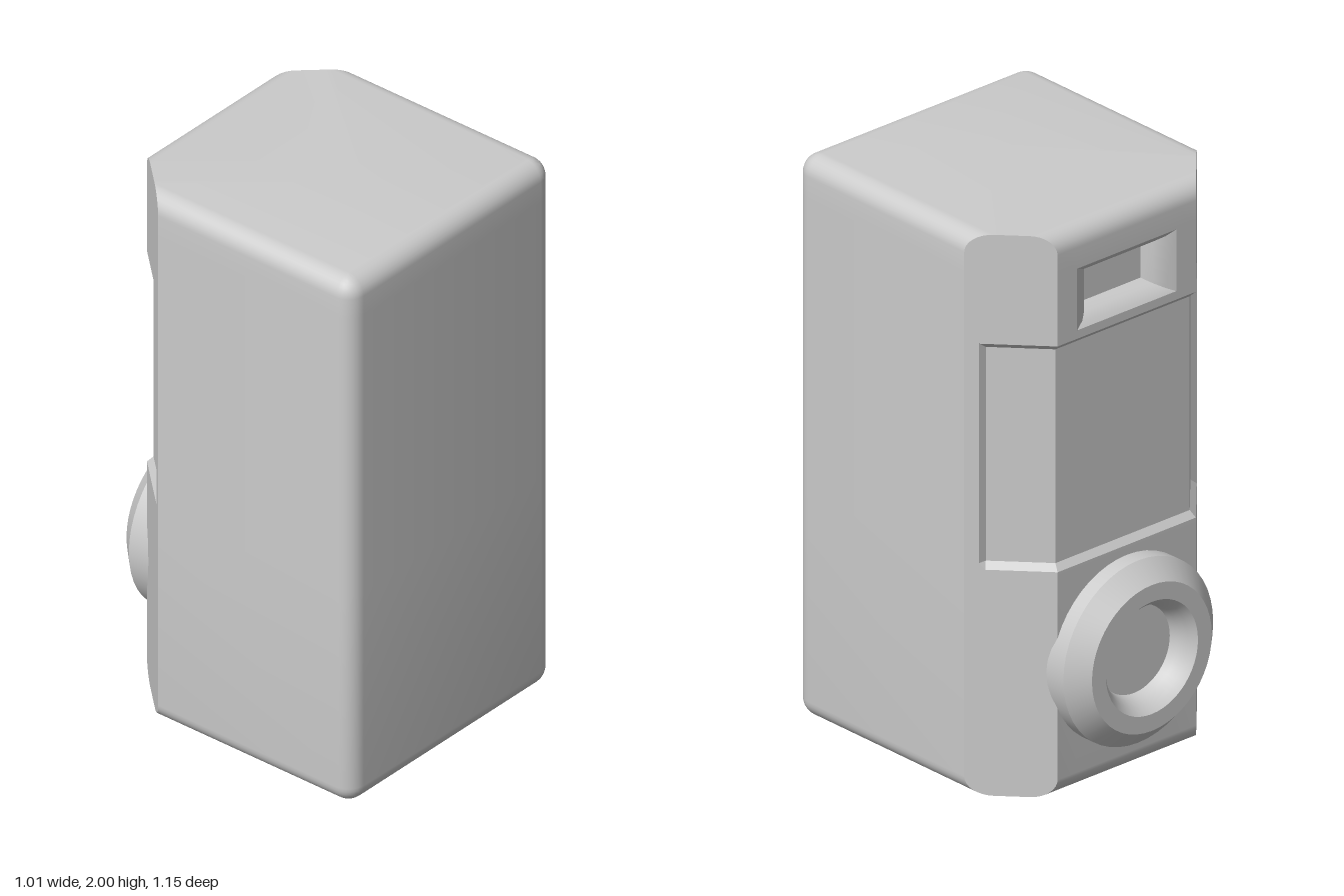
import * as THREE from 'three';
import { toCreasedNormals } from 'three/addons/utils/BufferGeometryUtils.js';

const HX = 0.505, FRONT = 0.575, BACK = -0.455, HEIGHT = 2, R = 0.065;
const SLOT = { x: 0.215, y0: 1.64, y1: 1.86 };

// Chamfer plane that cuts the back corners: N . p = C
const A = new THREE.Vector2(HX, -0.235), B = new THREE.Vector2(0.3, BACK);
const T = B.clone().sub(A).normalize();
const N = new THREE.Vector2(-T.y, T.x);
const C = N.dot(A);

// Skin a stack of closed rings; caps are fans, skip(j, i) leaves a cell open
function loft(rings, { skip = () => false, start = false, end = false } = {}) {
  const n = rings[0].length, pos = [], index = [];
  rings.forEach(ring => ring.forEach(p => pos.push(p.x, p.y, p.z)));
  for (let j = 0; j < rings.length - 1; j++) {
    for (let i = 0; i < n; i++) {
      if (skip(j, i)) continue;
      const k = (i + 1) % n;
      const a = j * n + i, b = a + n, c = (j + 1) * n + k, d = j * n + k;
      index.push(a, b, c, a, c, d);
    }
  }
  const cap = (j, flip) => {
    const centre = new THREE.Vector3();
    rings[j].forEach(p => centre.addScaledVector(p, 1 / n));
    const m = pos.length / 3;
    pos.push(centre.x, centre.y, centre.z);
    for (let i = 0; i < n; i++) {
      const a = j * n + i, b = j * n + (i + 1) % n;
      index.push(m, ...(flip ? [a, b] : [b, a]));
    }
  };
  if (start) cap(0, true);
  if (end) cap(rings.length - 1, false);
  const g = new THREE.BufferGeometry();
  g.setAttribute('position', new THREE.Float32BufferAttribute(pos, 3));
  g.setIndex(index);
  return toCreasedNormals(g, 0.5);
}

// Footprint at height y: inset for the rounded rim, depth for the back panel
function section(y, inset = 0, depth = 0) {
  const zBack = BACK + inset + depth;
  const cornerAt = (z, dep) => new THREE.Vector2((C - dep - N.y * z) / N.x, z);
  const side = new THREE.Vector2(HX - inset, (C - N.x * (HX - inset)) / N.y);
  const edge = cornerAt(BACK + inset, 0);
  const half = [
    new THREE.Vector2(SLOT.x, zBack),
    cornerAt(zBack, depth),
    side.clone().lerp(edge, 0.225).addScaledVector(N, -depth),
    side.clone().lerp(edge, 0.16),
    side,
  ];
  for (let k = 0; k <= 8; k++) {
    const a = (k / 8) * Math.PI / 2;
    half.push(new THREE.Vector2(
      HX - R + (R - inset) * Math.cos(a), FRONT - R + (R - inset) * Math.sin(a)));
  }
  const right = half.map(p => new THREE.Vector3(p.x, y, p.y));
  const left = half.map(p => new THREE.Vector3(-p.x, y, p.y)).reverse();
  return [...right, ...left];
}

function bodyGeometry() {
  const rings = [], steps = 8;
  const rim = k => {
    const a = (k / steps) * Math.PI / 2;
    return [R * (1 - Math.sin(a)), R * (1 - Math.cos(a))];
  };
  for (let k = steps; k >= 0; k--) {
    const [dy, inset] = rim(k);
    rings.push(section(dy, inset));
  }
  // Recessed panel wrapping round the back
  rings.push(section(0.805), section(0.828, 0, 0.02));
  rings.push(section(1.59, 0, 0.02), section(1.61));
  const slotRow = rings.length;
  rings.push(section(SLOT.y0), section(SLOT.y1));
  for (let k = 0; k <= steps; k++) {
    const [dy, inset] = rim(k);
    rings.push(section(HEIGHT - dy, inset));
  }
  const last = rings[0].length - 1;
  return loft(rings, {
    start: true, end: true, skip: (j, i) => j === slotRow && i === last,
  });
}

// Funnel-shaped slot above the panel
function slotGeometry() {
  const frame = (x, y0, y1, z) => [[x, y0], [x, y1], [-x, y1], [-x, y0]]
    .map(([px, py]) => new THREE.Vector3(px, py, z));
  return loft([
    frame(SLOT.x, SLOT.y0, SLOT.y1, BACK),
    frame(0.18, 1.658, 1.842, BACK + 0.014),
    frame(0.15, 1.675, 1.825, BACK + 0.038),
    frame(0.13, 1.688, 1.812, BACK + 0.078),
  ], { end: true });
}

// Bevelled ring with a dished centre
function dialGeometry() {
  const profile = [
    [0.325, 0.38], [0.325, 0.51], [0.26, 0.575], [0.2, 0.575],
    [0.178, 0.55], [0.163, 0.52], [0.155, 0.49], [0, 0.49],
  ].map(([r, h]) => new THREE.Vector2(r, h));
  const g = new THREE.LatheGeometry(profile, 48);
  g.rotateX(-Math.PI / 2);
  g.deleteAttribute('normal');
  g.deleteAttribute('uv');
  return toCreasedNormals(g, 0.5);
}

export function createModel() {
  const group = new THREE.Group();
  const material = new THREE.MeshStandardMaterial({ color: 0xcccccc });
  const add = (name, geometry) => {
    const mesh = new THREE.Mesh(geometry, material);
    mesh.name = name;
    group.add(mesh);
    return mesh;
  };
  add('body', bodyGeometry());
  add('slot', slotGeometry());
  add('dial', dialGeometry()).position.y = 0.445;
  return group;
}
